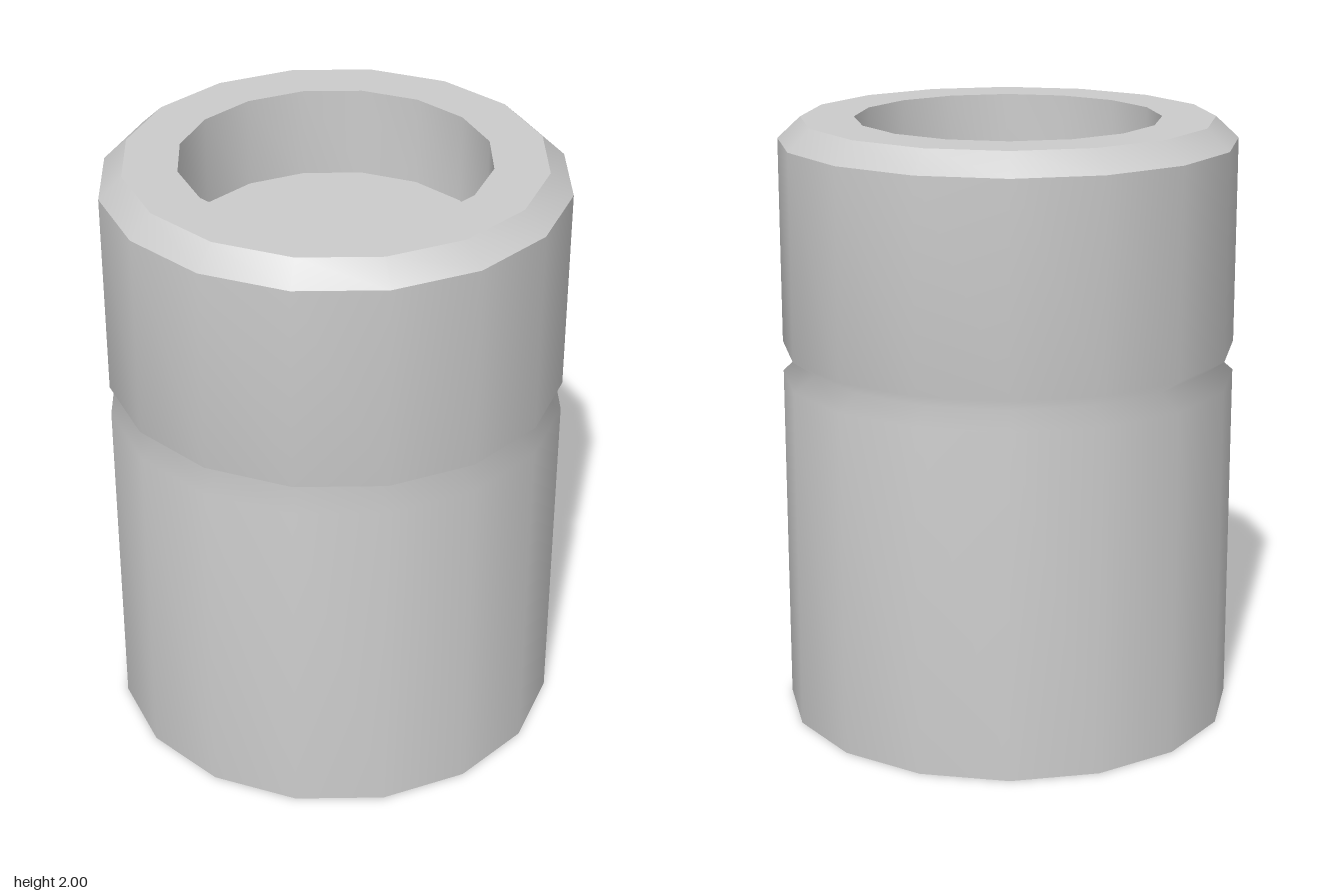
import * as THREE from 'three';
import { mergeVertices } from 'three/addons/utils/BufferGeometryUtils.js';

const SIDES = 16;

// Turned surface, smooth within itself and sharp where it meets its neighbours
function turned(name, points, material) {
  const lathe = new THREE.LatheGeometry(points.map(([r, y]) => new THREE.Vector2(r, y)), SIDES);
  lathe.deleteAttribute('uv');
  lathe.deleteAttribute('normal');
  const geometry = mergeVertices(lathe, 1e-4);
  geometry.computeVertexNormals();
  const mesh = new THREE.Mesh(geometry, material);
  mesh.name = name;
  return mesh;
}

export function createModel() {
  const group = new THREE.Group();
  group.name = 'groovedCylinder';
  const material = new THREE.MeshStandardMaterial({ color: 0xcccccc });

  const parts = {
    base: [[0, 0], [0.75, 0]],
    // Outer wall with a V-groove around it
    groovedWall: [[0.75, 0], [0.75, 1.15], [0.675, 1.2], [0.75, 1.25], [0.75, 1.93]],
    topBevel: [[0.75, 1.93], [0.675, 2]],
    rim: [[0.675, 2], [0.5, 2]],
    // Shallow round recess in the top
    recessWall: [[0.5, 2], [0.5, 1.7]],
    recessFloor: [[0.5, 1.7], [0, 1.7]],
  };
  for (const [name, points] of Object.entries(parts)) group.add(turned(name, points, material));
  return group;
}
